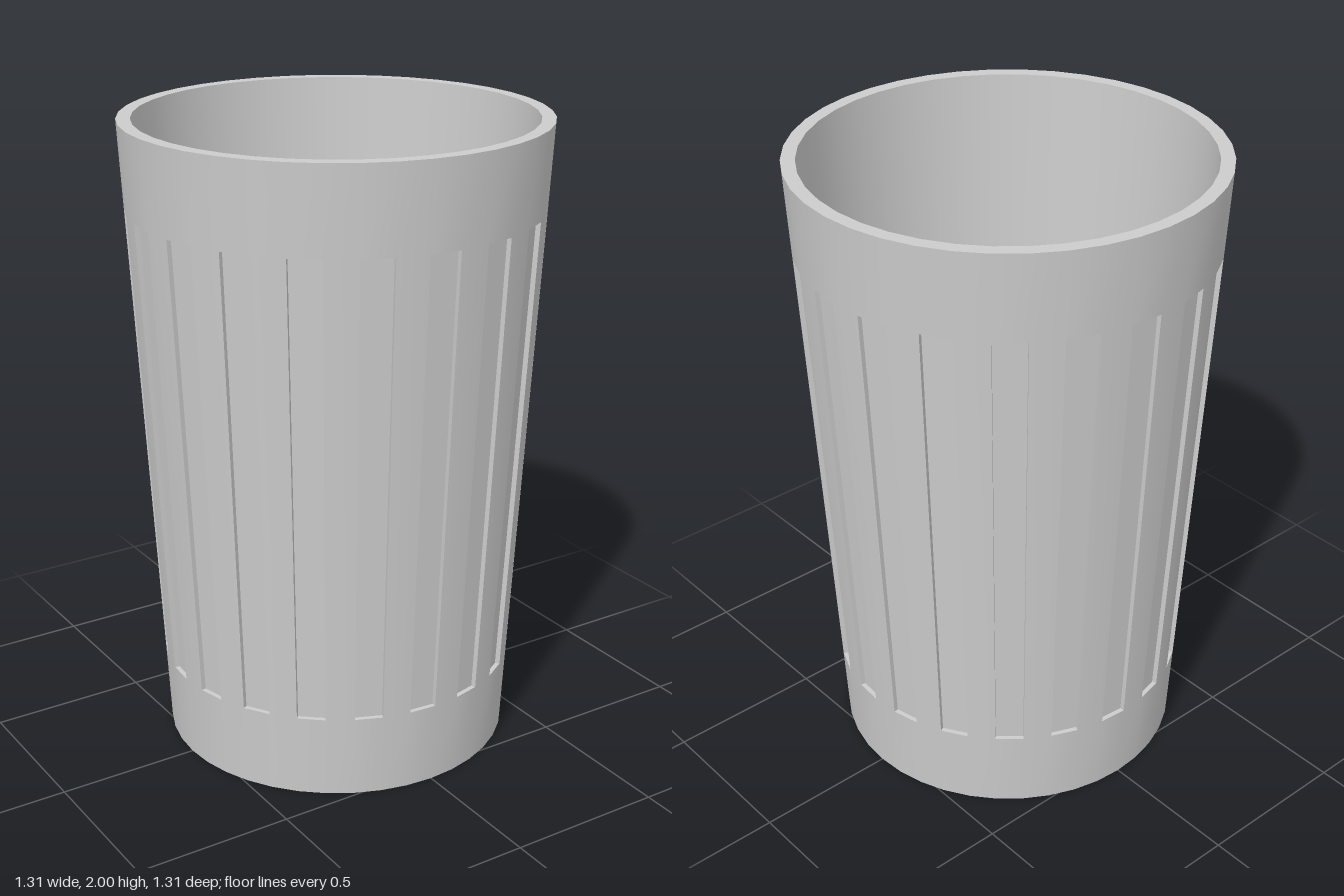
import * as THREE from 'three';
import { toCreasedNormals } from 'three/addons/utils/BufferGeometryUtils.js';

const SIDES = 40;      // every second side carries a groove
const DEPTH = 0.015;   // groove depth
const LOW = 0.265, HIGH = 1.73;

const outerR = (y) => 0.549 + 0.0525 * y;

// Cross-section [radius, height] from the base centre, up the outside and down the inside
const outerLow = [[0, 0], [outerR(0), 0], [outerR(LOW), LOW]];
const groove = [[outerR(LOW) - DEPTH, LOW], [outerR(HIGH) - DEPTH, HIGH]];
const outerHigh = [[outerR(HIGH), HIGH], [outerR(2), 2]];
const inside = [[0.611, 2], [0.508, 0.05], [0, 0.05]];

const plainProfile = [...outerLow, ...outerHigh, ...inside];
const grooveProfile = [...outerLow, ...groove, ...outerHigh, ...inside];

function buildCup() {
  const positions = [];
  const at = ([r, y], phi) => [r * Math.sin(phi), y, r * Math.cos(phi)];
  const tri = (a, b, c) => positions.push(...a, ...b, ...c);

  for (let i = 0; i < SIDES; i++) {
    const a = (i / SIDES) * Math.PI * 2;
    const b = (((i + 1) % SIDES) / SIDES) * Math.PI * 2;
    const grooved = i % 2 === 1;
    const profile = grooved ? grooveProfile : plainProfile;

    // Sweep this side's cross-section over one step
    for (let j = 0; j < profile.length - 1; j++) {
      const p = profile[j], q = profile[j + 1];
      if (p[0] > 0) tri(at(p, a), at(p, b), at(q, b));
      if (q[0] > 0) tri(at(p, a), at(q, b), at(q, a));
    }

    // Side walls of the groove
    if (grooved) {
      const wall = [outerLow[2], groove[0], groove[1], outerHigh[0]];
      const [p, q, r, s] = wall.map((v) => at(v, a));
      tri(p, q, r);
      tri(p, r, s);
      const [t, u, v, w] = wall.map((c) => at(c, b));
      tri(t, v, u);
      tri(t, w, v);
    }
  }

  const geometry = new THREE.BufferGeometry();
  geometry.setAttribute('position', new THREE.Float32BufferAttribute(positions, 3));
  return toCreasedNormals(geometry, 0.5);
}

export function createModel() {
  const group = new THREE.Group();
  group.name = 'cup';
  const body = new THREE.Mesh(buildCup(), new THREE.MeshStandardMaterial({ color: 0xcccccc }));
  body.name = 'groovedCupBody';
  group.add(body);
  return group;
}
